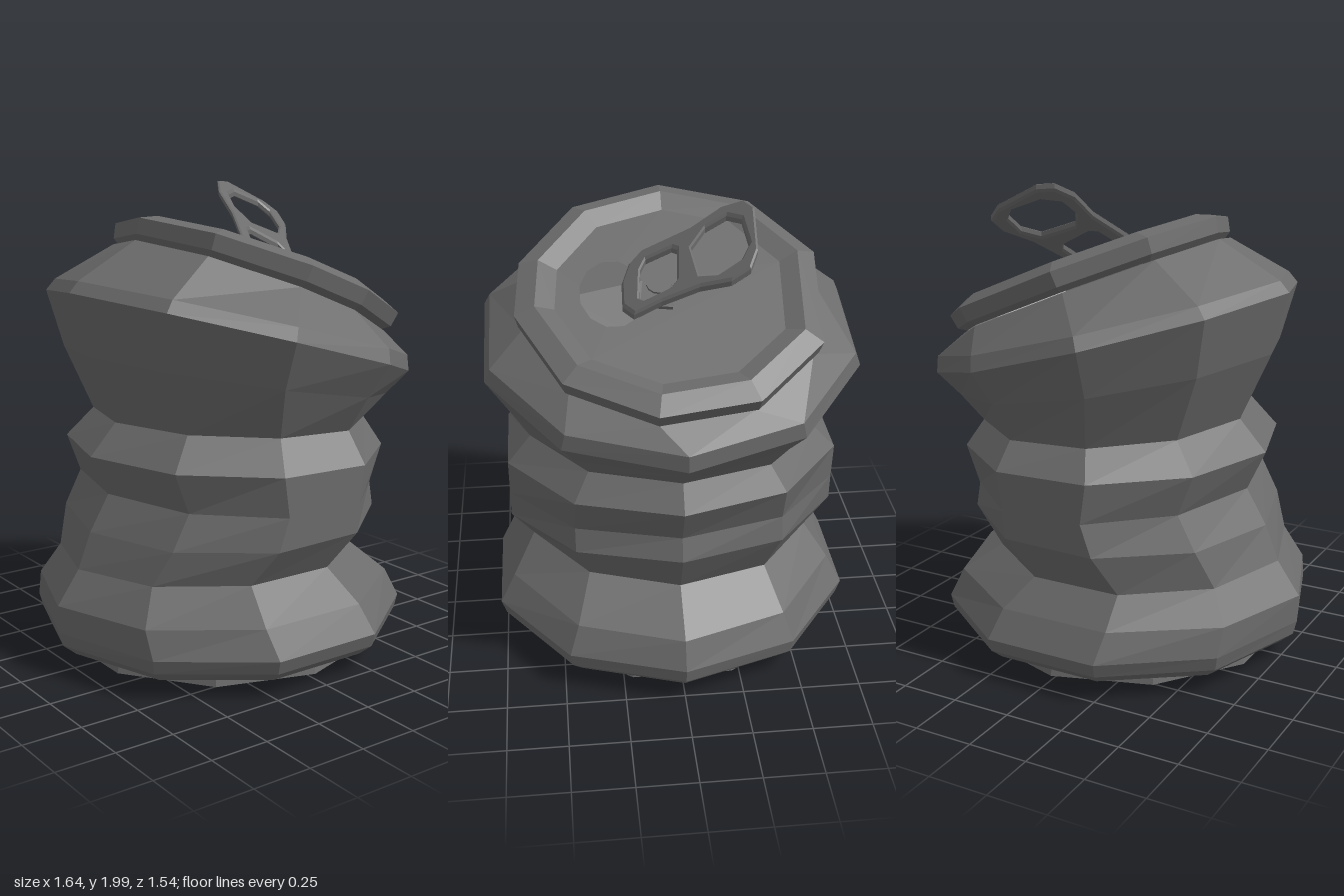
import * as THREE from 'three';

const SIDES = 10;
const TILT = 0.39; // slope of the crushed lid
const TWIST = 0.17; // turn of the lid's +x half
const material = new THREE.MeshStandardMaterial({ color: 0x6c6c6c, flatShading: true, side: THREE.DoubleSide });

// Corner angle; the +x half of twisted rings is turned a little
function cornerAngle(i, twist) {
  const a = (i / SIDES) * Math.PI * 2;
  return Math.cos(a) > 0 ? a + twist : a;
}

// Ten-sided ring slanted between its -x end (xl, yl) and its +x end (xr, yr)
function ring([xl, yl, xr, yr, halfZ, tiltZ = 0, twist = 0]) {
  const pts = [];
  for (let i = 0; i < SIDES; i++) {
    const a = cornerAngle(i, twist);
    const t = (1 + Math.cos(a)) / 2;
    pts.push([xl + (xr - xl) * t, yl + (yr - yl) * t + tiltZ * Math.sin(a), (halfZ / 0.951) * Math.sin(a)]);
  }
  return pts;
}

// Skin of quads through a stack of rings
function loft(rings) {
  const index = [];
  for (let i = 0; i < rings.length - 1; i++) {
    for (let j = 0; j < SIDES; j++) {
      const k = (j + 1) % SIDES;
      const a = i * SIDES + j, b = i * SIDES + k;
      index.push(a, a + SIDES, b, b, a + SIDES, b + SIDES);
    }
  }
  let g = new THREE.BufferGeometry();
  g.setAttribute('position', new THREE.Float32BufferAttribute(rings.flat(2), 3));
  g.setIndex(index);
  g = g.toNonIndexed();
  g.computeVertexNormals();
  return g;
}

function add(parent, name, geometry) {
  const mesh = new THREE.Mesh(geometry, material);
  mesh.name = name;
  parent.add(mesh);
  return mesh;
}

// Outline from [x, z] pairs, laid flat later by rotateX(-90 degrees)
const flat = (pts) => pts.map(([x, z]) => new THREE.Vector2(x, -z));

export function createModel() {
  const model = new THREE.Group();
  model.name = 'crushedCan';

  // Foot rim with recessed base, its corners turned half a side against the body
  const footProfile = [[0, 0.05], [0.55, 0.05], [0.615, 0], [0.69, 0.03], [0.68, 0.08]];
  add(model, 'foot', new THREE.LatheGeometry(footProfile.map(([r, y]) => new THREE.Vector2(r, y)), SIDES)).position.x = -0.01;

  // Crumpled body up to the neck
  add(model, 'body', loft([
    [-0.64, 0.045, 0.62, 0.045, 0.6],
    [-0.74, 0.06, 0.74, 0.06, 0.69],
    [-0.8, 0.11, 0.79, 0.11, 0.75],
    [-0.815, 0.17, 0.8, 0.17, 0.77],
    [-0.82, 0.29, 0.75, 0.29, 0.705],
    [-0.72, 0.43, 0.55, 0.43, 0.61, 0.015],
    [-0.66, 0.58, 0.64, 0.61, 0.7],
    [-0.57, 0.73, 0.61, 0.71, 0.7],
    [-0.65, 0.9, 0.69, 0.87, 0.7],
    [-0.53, 1.03, 0.62, 0.98, 0.6, 0.01],
    [-0.66, 1.32, 0.72, 1.07, 0.69],
    [-0.73, 1.58, 0.82, 1.15, 0.77],
    [-0.69, 1.625, 0.82, 1.22, 0.745],
    [-0.42, 1.775, 0.73, 1.3, 0.58, 0, TWIST],
  ].map(ring)));

  // Tilted lid, built flat in its own frame
  const lid = new THREE.Group();
  lid.name = 'lid';
  lid.position.set(0.18, 1.575, 0);
  lid.rotation.z = -TILT;
  model.add(lid);

  const rim = [[0.6, -0.04], [0.635, -0.018], [0.648, 0.047], [0.565, 0.085], [0.485, 0.05]];
  add(lid, 'lidRim', loft(rim.map(([r, h]) => ring([-r, h, r, h, r * 0.94, 0, TWIST]))));

  // Shallow panel with the drinking hole
  const corners = ring([-0.485, 0, 0.485, 0, 0.485 * 0.94, 0, TWIST]).map(([x, , z]) => [x, z]);
  const panel = new THREE.Shape(flat(corners));
  const hole = [];
  for (let i = 0; i < 12; i++) {
    const a = ((i + 0.5) / 12) * Math.PI * 2;
    hole.push([-0.005 + 0.185 * Math.cos(a), 0.24 + 0.135 * Math.sin(a)]);
  }
  panel.holes.push(new THREE.Path(flat(hole)));
  add(lid, 'lidPanel', new THREE.ShapeGeometry(panel).rotateX(-Math.PI / 2).translate(0, 0.05, 0));

  // Rivet and the small flap it holds
  add(lid, 'rivet', new THREE.CylinderGeometry(0.05, 0.055, 0.04, 12)).position.set(-0.01, 0.07, 0.055);
  const flap = add(lid, 'rivetFlap', new THREE.BoxGeometry(0.19, 0.015, 0.13));
  flap.position.set(0.01, 0.075, 0.06);
  flap.rotation.y = -0.15;

  // Raised pull tab: outline with two openings, sheared up along its slope
  const tab = new THREE.Shape(flat([
    [0.05, 0.11], [0.07, 0.165], [0.14, 0.2], [0.25, 0.205], [0.33, 0.165], [0.365, 0.06], [0.43, -0.08],
    [0.51, -0.19], [0.52, -0.26], [0.46, -0.295], [0.26, -0.31], [0.19, -0.28], [0.14, -0.2], [0.125, -0.08],
  ]));
  tab.holes.push(new THREE.Path(flat([
    [0.18, -0.13], [0.2, -0.21], [0.27, -0.26], [0.41, -0.27], [0.45, -0.235], [0.44, -0.15], [0.38, -0.085], [0.22, -0.07],
  ])));
  tab.holes.push(new THREE.Path(flat([
    [0.11, 0.1], [0.15, 0], [0.18, -0.02], [0.32, -0.005], [0.335, 0.02], [0.3, 0.12], [0.27, 0.14], [0.14, 0.125],
  ])));
  const tabGeometry = new THREE.ExtrudeGeometry(tab, {
    depth: 0.019, bevelThickness: 0.008, bevelSize: 0.008, bevelOffset: -0.008, bevelSegments: 1,
  }).rotateX(-Math.PI / 2);
  const p = tabGeometry.attributes.position;
  for (let i = 0; i < p.count; i++) {
    const x = p.getX(i), z = p.getZ(i);
    p.setY(i, p.getY(i) + 1.593 + (0.2 - z) * 0.785 + (0.2 - x) * 0.41);
  }
  tabGeometry.computeVertexNormals();
  add(model, 'pullTab', tabGeometry);

  return model;
}
